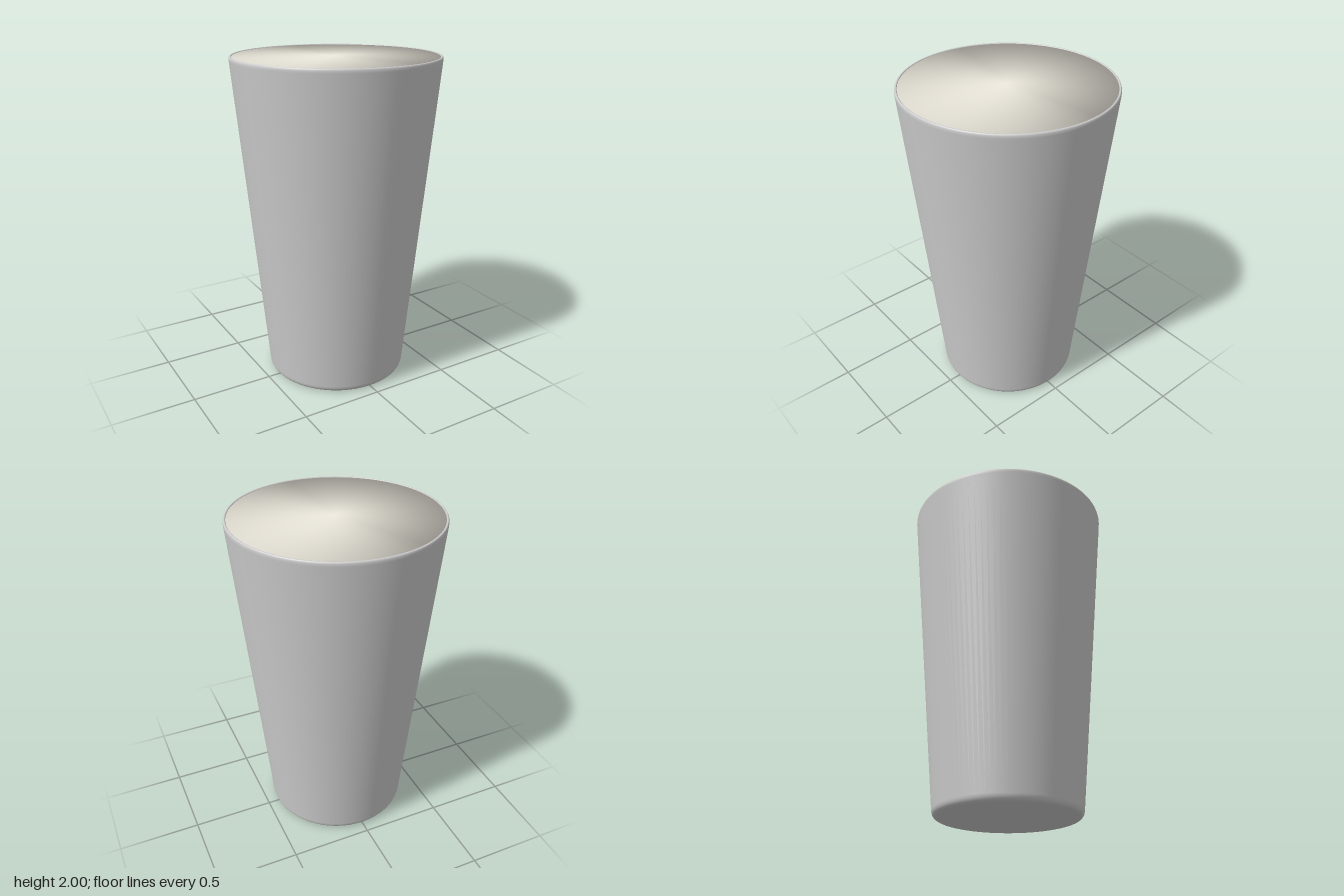
import * as THREE from 'three';
import { mergeVertices } from 'three/addons/utils/BufferGeometryUtils.js';

const SEGMENTS = 96;

// Quarter-round style corner between two points, bent around a control point
function corner(from, control, to, steps = 8) {
  const v = ([x, y]) => new THREE.Vector2(x, y);
  return new THREE.QuadraticBezierCurve(v(from), v(control), v(to)).getPoints(steps);
}

export function createModel() {
  const model = new THREE.Group();
  model.name = 'filledTumbler';

  // Tapered cup: flat base, rounded foot, straight wall, rounded rim, inner wall and floor
  const cupProfile = [
    new THREE.Vector2(0, 0),
    ...corner([0.4, 0], [0.434, 0], [0.438, 0.04]),
    ...corner([0.62, 1.975], [0.622, 2], [0.612, 2]),
    ...corner([0.611, 2], [0.606, 2], [0.605, 1.994], 4),
    new THREE.Vector2(0.42, 0.05),
    new THREE.Vector2(0, 0.05),
  ];
  const cup = new THREE.Mesh(
    new THREE.LatheGeometry(cupProfile, SEGMENTS),
    new THREE.MeshStandardMaterial({ color: 0xcccccc })
  );
  cup.name = 'cup';
  model.add(cup);

  // Filling up to the rim, one smooth-shaded body
  const fillingProfile = [[0, 0.05], [0.42, 0.05], [0.605, 1.996], [0, 1.996]]
    .map(([x, y]) => new THREE.Vector2(x, y));
  let fillingGeometry = new THREE.LatheGeometry(fillingProfile, SEGMENTS);
  fillingGeometry.deleteAttribute('normal');
  fillingGeometry.deleteAttribute('uv');
  fillingGeometry = mergeVertices(fillingGeometry);
  fillingGeometry.computeVertexNormals();
  const filling = new THREE.Mesh(
    fillingGeometry,
    new THREE.MeshStandardMaterial({ color: 0xf0ece0 })
  );
  filling.name = 'filling';
  model.add(filling);

  return model;
}
